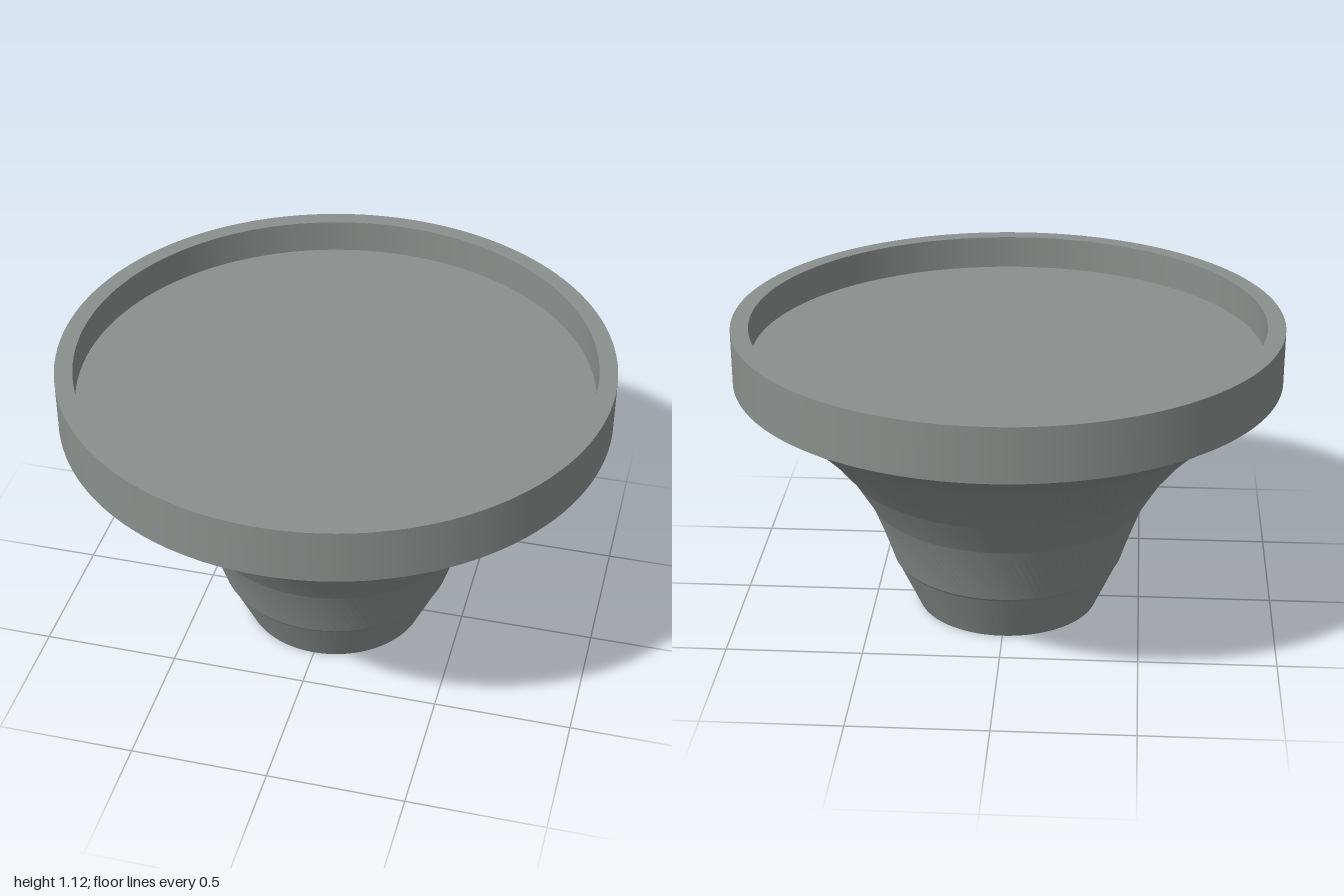
import * as THREE from 'three';

const SIDES = 128;

export function createModel() {
  const group = new THREE.Group();
  const grey = new THREE.MeshStandardMaterial({ color: 0x8a8f8c, side: THREE.DoubleSide });
  grey.name = 'grey';
  const facetedGrey = grey;

  const add = (name, geometry, material = grey) => {
    const mesh = new THREE.Mesh(geometry, material);
    mesh.name = name;
    group.add(mesh);
  };

  // One straight profile segment spun around y, so corners stay sharp
  const spin = (name, r0, y0, r1, y1) =>
    add(name, new THREE.LatheGeometry([new THREE.Vector2(r0, y0), new THREE.Vector2(r1, y1)], SIDES));

  // Raised rim and recessed tray floor
  spin('rimOuterWall', 1, 0.925, 1, 1.125);
  spin('rimTop', 1, 1.125, 0.935, 1.125);
  spin('rimInnerWall', 0.935, 1.125, 0.935, 1.0);
  spin('trayFloor', 0.935, 1.0, 0, 1.0);

  // Flared stem: rings of [radius, height, twist] joined by slanting facets
  const rings = [
    [0.338, 0, 0], [0.425, 0.19, -0.04], [0.432, 0.2, -0.05], [0.515, 0.43, -0.3],
    [0.597, 0.565, -0.42], [0.69, 0.68, -0.55], [0.815, 0.805, -0.68], [1, 0.925, -0.8],
  ];
  const positions = [];
  const indices = [];
  rings.forEach(([r, y, twist], k) => {
    for (let i = 0; i < SIDES; i++) {
      const a = (i / SIDES) * Math.PI * 2 + twist;
      positions.push(r * Math.sin(a), y, r * Math.cos(a));
      if (k === 0) continue;
      const j = (i + 1) % SIDES;
      const low = (k - 1) * SIDES;
      const high = k * SIDES;
      indices.push(low + i, low + j, high + j, low + i, high + j, high + i);
    }
  });
  let stem = new THREE.BufferGeometry();
  stem.setAttribute('position', new THREE.Float32BufferAttribute(positions, 3));
  stem.setIndex(indices);
  stem = stem.toNonIndexed();
  stem.computeVertexNormals(); // unshared corners give flat facets
  add('flaredStem', stem, facetedGrey);

  // Partial plate closing the right half of the foot
  const plate = new THREE.Shape();
  plate.moveTo(0, -0.335);
  plate.absarc(0, 0, 0.335, -Math.PI / 2, -Math.PI * 3 / 4, true);
  plate.lineTo(-0.3, 0.15);
  plate.lineTo(0, 0.335);
  plate.closePath();
  const plateGeometry = new THREE.ShapeGeometry(plate);
  plateGeometry.rotateX(Math.PI / 2);
  add('footPlate', plateGeometry);

  return group;
}
